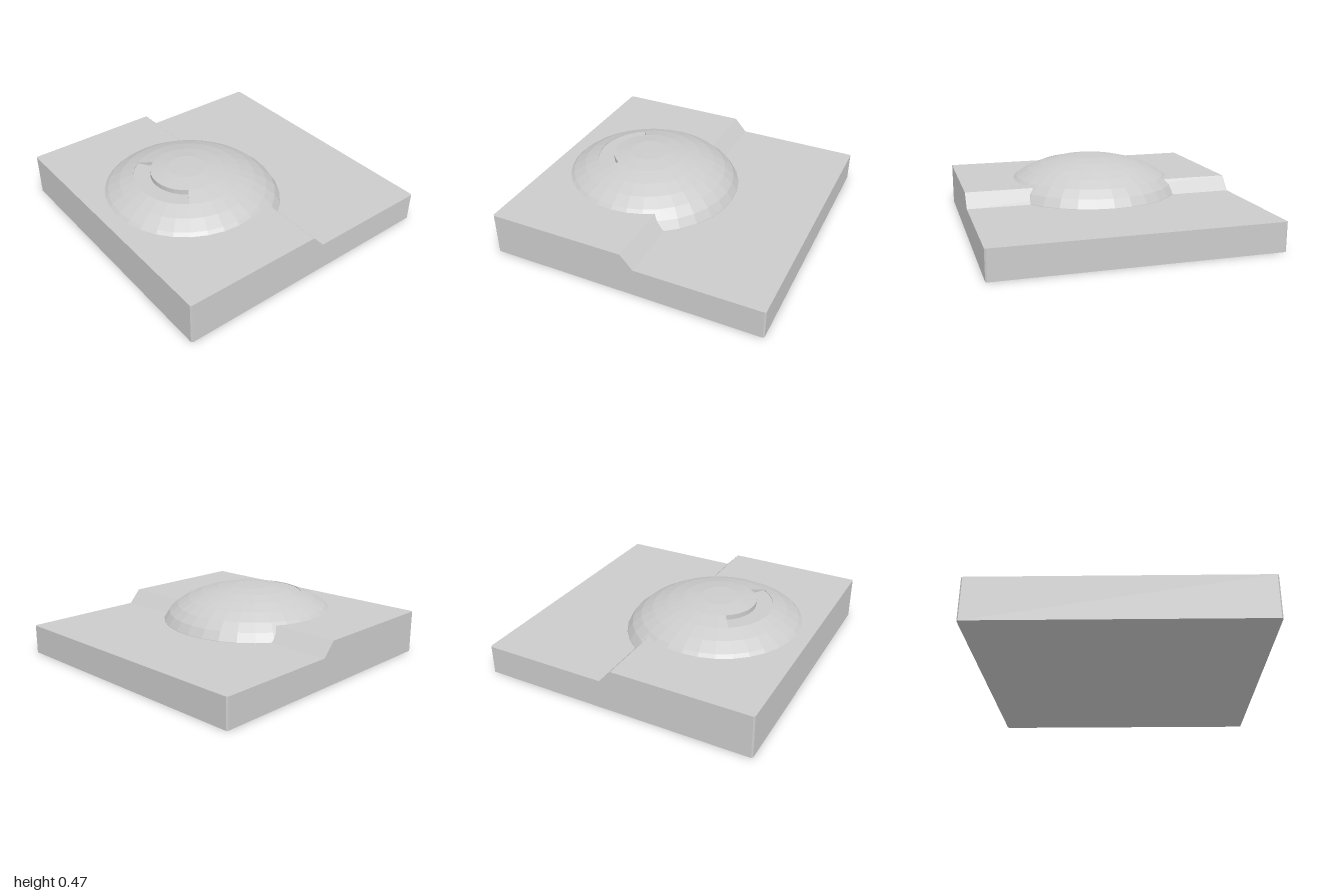
import * as THREE from 'three';

const material = new THREE.MeshStandardMaterial({
  color: 0xcccccc, flatShading: true, side: THREE.DoubleSide,
});
const STEP = Math.PI / 16; // one side of the 32-sided dome

function addMesh(parent, name, geometry) {
  const mesh = new THREE.Mesh(geometry, material);
  mesh.name = name;
  parent.add(mesh);
  return mesh;
}

// Stepped slab: side profile extruded along z, vertical corners chamfered
function slabGeometry() {
  const profile = new THREE.Shape();
  [[-1, 0], [1, 0], [1, 0.21], [0.09, 0.21], [0, 0.31], [-1, 0.31]].forEach(([x, y], i) =>
    i ? profile.lineTo(x, y) : profile.moveTo(x, y));
  const geometry = new THREE.ExtrudeGeometry(profile, { depth: 2, steps: 3, bevelEnabled: false });
  geometry.translate(0, 0, -1);
  const p = geometry.attributes.position;
  for (let i = 0; i < p.count; i++) {
    const x = p.getX(i), z = p.getZ(i);
    if (Math.abs(z) < 0.9) p.setZ(i, Math.sign(z) * 0.99);
    else if (Math.abs(x) > 0.99) p.setX(i, Math.sign(x) * 0.99);
  }
  geometry.computeVertexNormals();
  return geometry;
}

// Dome ring k, counted from the top
function ring(k) {
  const a = k * Math.PI / 16;
  return new THREE.Vector2(0.685 * Math.sin(a), Math.min(0.47, 0.15 + 0.325 * Math.cos(a)));
}

export function createModel() {
  const model = new THREE.Group();
  model.name = 'domedPlate';
  addMesh(model, 'steppedSlab', slabGeometry());

  const dome = new THREE.Group();
  dome.name = 'dome';
  dome.position.x = -0.3;
  model.add(dome);

  // Shell above, below and beside the curved slot
  const slotStart = 1.5 * Math.PI - 5 * STEP, slotEnd = slotStart + 10 * STEP;
  addMesh(dome, 'domeSkirt', new THREE.LatheGeometry([8, 7, 6, 5, 4, 3].map(ring), 32));
  addMesh(dome, 'domeBand', new THREE.LatheGeometry([3, 2].map(ring), 22, slotEnd, 22 * STEP));
  addMesh(dome, 'domeCap', new THREE.LatheGeometry([2, 1, 0].map(ring), 32));

  // Slot lip, floor and inner wall
  const inner = ring(2), outer = ring(3), floor = 0.415;
  const section = [outer, new THREE.Vector2(outer.x, floor), new THREE.Vector2(inner.x, floor), inner];
  addMesh(dome, 'slotFloor', new THREE.LatheGeometry(section, 10, slotStart, 10 * STEP));

  // Flat walls closing both slot ends
  for (const angle of [slotStart, slotEnd]) {
    const wall = addMesh(dome, 'slotEndWall', new THREE.ShapeGeometry(new THREE.Shape(section)));
    wall.rotation.y = angle - Math.PI / 2;
  }
  return model;
}
